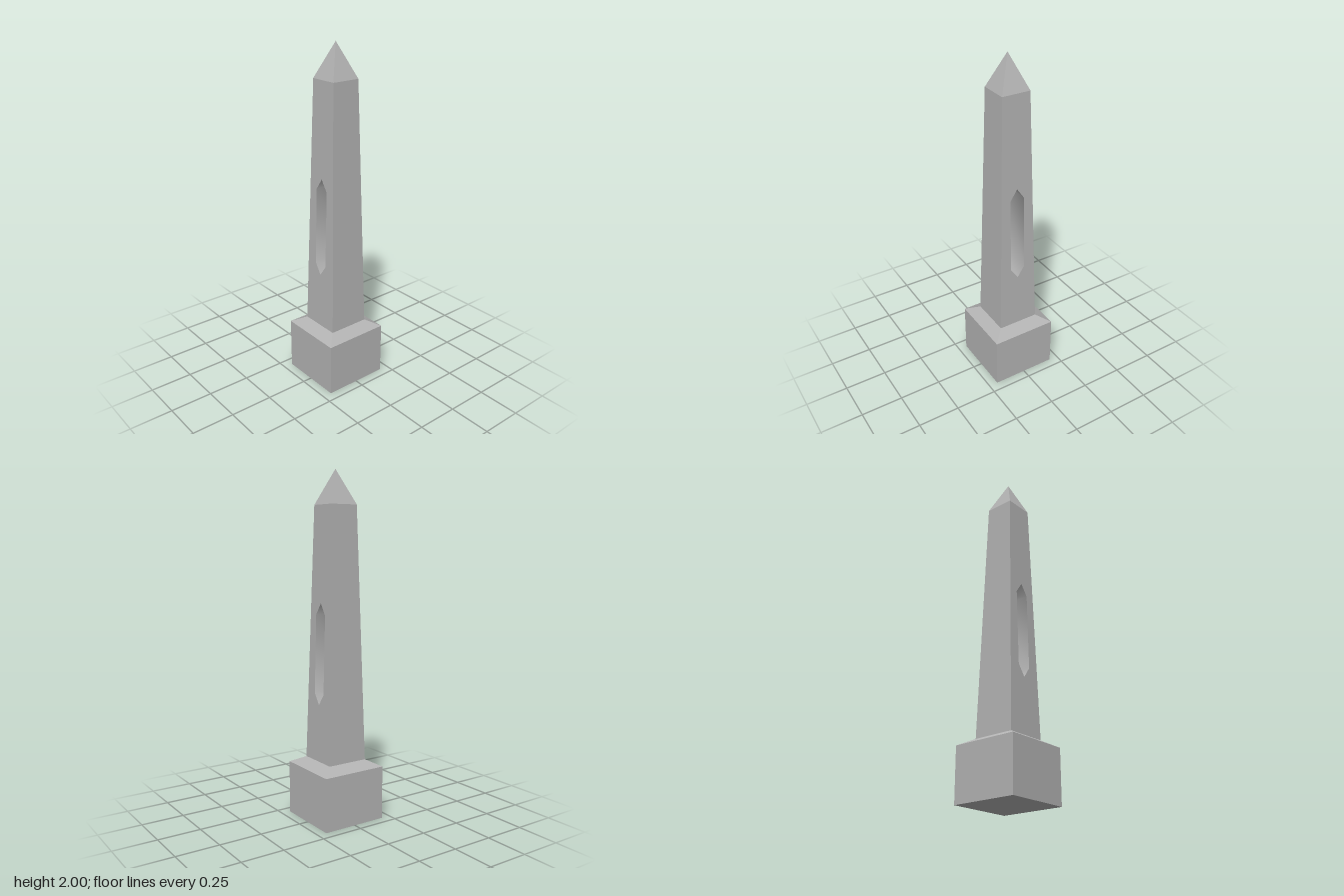
import * as THREE from 'three';
import { toCreasedNormals } from 'three/addons/utils/BufferGeometryUtils.js';

const SHAFT_Y0 = 0.35, SHAFT_Y1 = 1.805, SHAFT_R0 = 0.123, SHAFT_R1 = 0.085;

// Half width of the tapering shaft at height y
const half = (y) => THREE.MathUtils.mapLinear(y, SHAFT_Y0, SHAFT_Y1, SHAFT_R0, SHAFT_R1);

// Counter-clockwise slot with pointed ends
const slot = (w, y0, y1, tip) => [
  [0, y0], [w, y0 + tip], [w, y1 - tip], [0, y1], [-w, y1 - tip], [-w, y0 + tip],
].map(([u, y]) => new THREE.Vector2(u, y));

// Flat-sided square frustum with the given half widths
function frustum(r0, r1, y0, y1, open) {
  const g = new THREE.CylinderGeometry(r1 * Math.SQRT2, r0 * Math.SQRT2, y1 - y0, 4, 1, open)
    .rotateY(Math.PI / 4).translate(0, (y0 + y1) / 2, 0).toNonIndexed();
  g.computeVertexNormals();
  return g;
}

// One sloping shaft wall, optionally pierced by the window
function shaftWall(turn, hole) {
  const shape = new THREE.Shape([
    [-SHAFT_R0, SHAFT_Y0], [SHAFT_R0, SHAFT_Y0], [SHAFT_R1, SHAFT_Y1], [-SHAFT_R1, SHAFT_Y1],
  ].map(([u, y]) => new THREE.Vector2(u, y)));
  if (hole) shape.holes.push(new THREE.Path(hole.slice().reverse()));
  const g = new THREE.ShapeGeometry(shape);
  const p = g.attributes.position;
  for (let i = 0; i < p.count; i++) p.setZ(i, half(p.getY(i)));
  g.computeVertexNormals();
  return g.rotateY(turn * Math.PI / 2);
}

// Inward-facing lining joining the two window openings
function windowLining(outline) {
  const v = [];
  outline.forEach((a, i) => {
    const b = outline[(i + 1) % outline.length];
    const at = (q, s) => [s * half(q.y), q.y, q.x];
    v.push(...at(a, -1), ...at(b, -1), ...at(b, 1), ...at(a, -1), ...at(b, 1), ...at(a, 1));
  });
  const g = new THREE.BufferGeometry();
  g.setAttribute('position', new THREE.Float32BufferAttribute(v, 3));
  return toCreasedNormals(g, Math.PI / 4);
}

export function createModel() {
  const model = new THREE.Group();
  model.name = 'obelisk';
  const stone = new THREE.MeshStandardMaterial({ color: 0xb2b2b2 });
  stone.name = 'grey stone';
  const add = (name, geometry, parent = model) => {
    const mesh = new THREE.Mesh(geometry, stone);
    mesh.name = name;
    parent.add(mesh);
  };

  // Plinth with a sloping ledge
  add('plinth', frustum(0.196, 0.196, 0, 0.312, false));
  add('plinthLedge', frustum(0.196, SHAFT_R0, 0.312, SHAFT_Y0, true));

  // Shaft, with a window running through from side to side
  const outline = slot(0.045, 0.68, 1.26, 0.065);
  const shaft = new THREE.Group();
  shaft.name = 'shaft';
  model.add(shaft);
  ['frontWall', 'leftWall', 'backWall', 'rightWall'].forEach((name, i) =>
    add(name, shaftWall(i, i % 2 ? outline : null), shaft));
  add('windowLining', windowLining(outline), shaft);

  // Slim pointed bar hanging in the middle of the window
  const bar = new THREE.ExtrudeGeometry(new THREE.Shape(slot(0.013, 0.795, 1.15, 0.04)),
    { depth: 0.026, bevelEnabled: false });
  add('windowBar', bar.translate(0, 0, -0.013).rotateY(Math.PI / 2));

  // Pyramid point
  add('cap', frustum(SHAFT_R1, 0, SHAFT_Y1, 2, true));
  return model;
}
